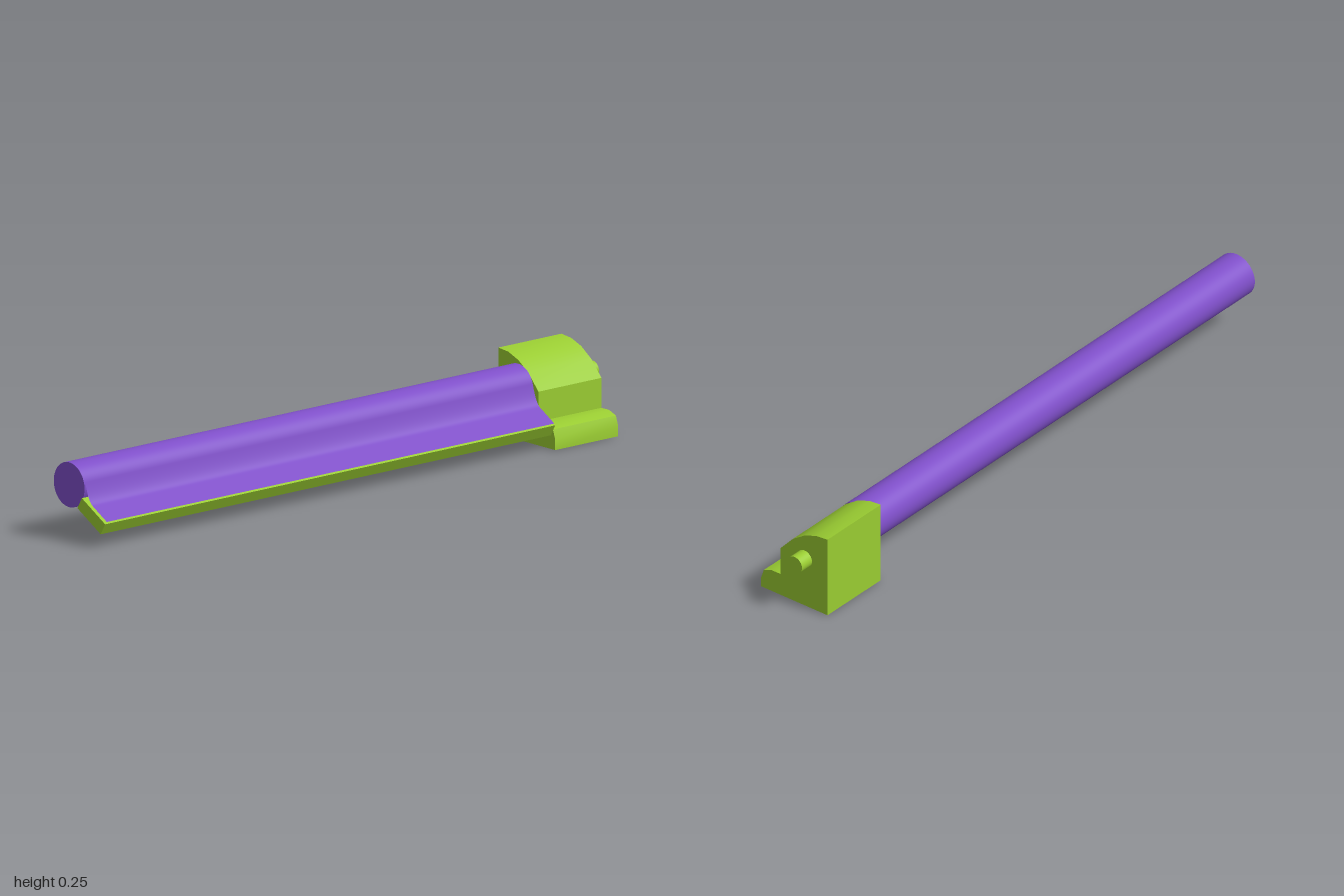
import * as THREE from 'three';
import { toCreasedNormals } from 'three/addons/utils/BufferGeometryUtils.js';

const green = new THREE.MeshStandardMaterial({ color: 0x9acd32 });
const purple = new THREE.MeshStandardMaterial({ color: 0x7f4fc9, side: THREE.DoubleSide });

const X_LEFT = -1, X_HOUSING = 0.715, X_FACE = 0.955;
const AXIS = { y: 0.158, z: -0.038 };

// Extrude a closed [z, y] profile along x
function extrudeX(profile, x0, x1) {
  const shape = new THREE.Shape(profile.map(([z, y]) => new THREE.Vector2(z, y)));
  const geo = new THREE.ExtrudeGeometry(shape, { depth: x1 - x0, bevelEnabled: false });
  geo.rotateY(-Math.PI / 2).translate(x1, 0, 0);
  return toCreasedNormals(geo, 0.42);
}

// Cylinder on the roll axis
function rodX(radius, x0, x1, segments) {
  const geo = new THREE.CylinderGeometry(radius, radius, x1 - x0, segments);
  return geo.rotateZ(-Math.PI / 2).translate((x0 + x1) / 2, AXIS.y, AXIS.z);
}

export function createModel() {
  const group = new THREE.Group();
  const add = (name, geo, material) => {
    const mesh = new THREE.Mesh(geo, material);
    mesh.name = name;
    group.add(mesh);
  };

  // End housing with a stepped front and a curved top
  add('housing', extrudeX([
    [-0.122, 0], [0.122, 0], [0.122, 0.03], [0.112, 0.059], [0.083, 0.07], [0.05, 0.07],
    [0.05, 0.158], [0.006, 0.206], [-0.037, 0.235], [-0.08, 0.251], [-0.122, 0.255],
  ], X_HOUSING, X_FACE), green);

  // Axle stub
  add('axleStub', rodX(0.027, X_FACE - 0.02, 1, 32), green);

  // Slanted bar that carries the sheet
  add('guideBar', extrudeX([
    [0.122, 0.073], [0.022, 0.131], [0.003, 0.098], [0.103, 0.04],
  ], X_LEFT, X_HOUSING), green);

  // Roll
  add('roll', rodX(0.066, -0.995, X_HOUSING, 64), purple);

  // Sheet leaving the roll and lying on the bar
  const path = new THREE.CurvePath();
  const v = (z, y) => new THREE.Vector2(z, y);
  path.add(new THREE.QuadraticBezierCurve(v(0.0258, 0.175), v(0.04, 0.1224), v(0.056, 0.1132)));
  path.add(new THREE.LineCurve(v(0.056, 0.1132), v(0.118, 0.0774)));
  const steps = 24;
  const sheet = new THREE.PlaneGeometry(X_HOUSING + 0.99, 1, 1, steps);
  const pos = sheet.attributes.position;
  for (let i = 0; i < pos.count; i++) {
    const p = path.getPoint(0.5 - pos.getY(i));
    pos.setXYZ(i, pos.getX(i) + (X_HOUSING - 0.99) / 2, p.y, p.x);
  }
  sheet.computeVertexNormals();
  add('sheet', sheet, purple);

  return group;
}
